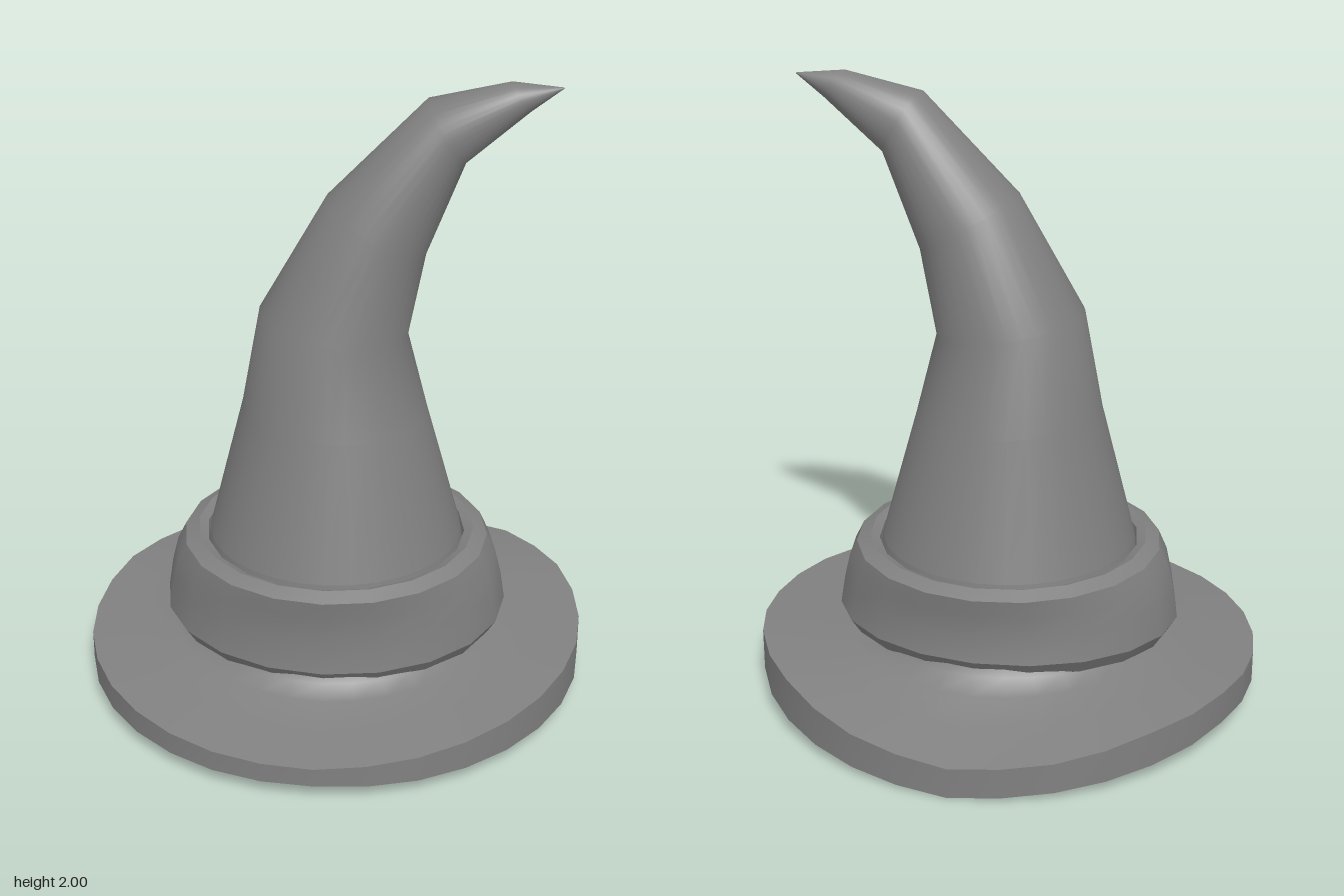
import * as THREE from 'three';
import { toCreasedNormals } from 'three/addons/utils/BufferGeometryUtils.js';

// Skin over rings: point(j, a) gives [x, y, z] on ring j at angle a (0 = front, +90 deg = +x)
function loft(rings, segments, point, crease) {
  const pos = [], index = [];
  for (let j = 0; j < rings; j++) {
    for (let i = 0; i < segments; i++) pos.push(...point(j, (i / segments) * Math.PI * 2));
  }
  for (let j = 0; j < rings - 1; j++) {
    for (let i = 0; i < segments; i++) {
      const k = (i + 1) % segments;
      const a = j * segments + i, b = j * segments + k;
      const c = b + segments, d = a + segments;
      index.push(a, b, c, a, c, d);
    }
  }
  const g = new THREE.BufferGeometry();
  g.setAttribute('position', new THREE.Float32BufferAttribute(pos, 3));
  g.setIndex(index);
  g.computeVertexNormals();
  return crease ? toCreasedNormals(g, crease) : g;
}

// Height table from front (0) to back (PI), mirrored left and right
function around(table, a) {
  const t = (Math.acos(THREE.MathUtils.clamp(Math.cos(a), -1, 1)) / Math.PI) * (table.length - 1);
  const i = Math.min(Math.floor(t), table.length - 2);
  return THREE.MathUtils.lerp(table[i], table[i + 1], t - i);
}

export function createModel() {
  const group = new THREE.Group();
  const material = new THREE.MeshStandardMaterial({ color: 0x808080, side: THREE.DoubleSide });
  const add = (name, geometry) => {
    const mesh = new THREE.Mesh(geometry, material);
    mesh.name = name;
    group.add(mesh);
  };

  // Bent cone: each ring is left point, right point, half depth
  const cone = [
    [-0.413, 0.51, 0.413, 0.51, 0.413],
    [-0.3, 0.95, 0.295, 0.93, 0.305],
    [-0.24, 1.27, 0.228, 1.19, 0.24],
    [-0.03, 1.635, 0.28, 1.46, 0.18],
    [0.275, 1.945, 0.395, 1.755, 0.114],
    [0.52, 2.0, 0.582, 1.915, 0.06],
    [0.674, 1.987, 0.676, 1.984, 0.002],
  ];
  add('crown', loft(cone.length, 32, (j, a) => {
    const [lx, ly, rx, ry, rz] = cone[j];
    const s = Math.sin(a);
    return [(lx + rx) / 2 + ((rx - lx) / 2) * s, (ly + ry) / 2 + ((ry - ly) / 2) * s, rz * Math.cos(a)];
  }));

  // Wavy brim: hollow from the crown down, underside, rim, top, neck
  const rimTop = [0.115, 0.125, 0.142, 0.158, 0.17, 0.19, 0.178, 0.13, 0.1];
  const rimBottom = [0.055, 0.05, 0.05, 0.05, 0.052, 0.068, 0.05, 0.025, 0.002];
  // radius, inner height, share of the rim height, rim side (0 bottom, 1 top)
  const brim = [
    [0.413, 0.51, 0, 0], [0.425, 0.36, 0, 0], [0.435, 0.25, 0, 0], [0.455, 0.17, 0.1, 0], [0.51, 0.12, 0.35, 0],
    [0.62, 0.1, 0.7, 0], [0.818, 0, 1, 0],
    [0.818, 0, 1, 1], [0.66, 0.2, 0.6, 1], [0.54, 0.2, 0.25, 1], [0.48, 0.21, 0, 1], [0.45, 0.27, 0, 1],
    [0.413, 0.51, 0, 0],
  ];
  add('brim', loft(brim.length, 32, (j, a) => {
    const [r, y, share, top] = brim[j];
    const rim = top ? around(rimTop, a) + 0.02 * Math.sin(a) : around(rimBottom, a);
    const inner = y - top * 0.015 * Math.cos(a);
    return [r * Math.sin(a), THREE.MathUtils.lerp(inner, rim, share), r * Math.cos(a)];
  }, 0.9));

  // Hat band, wider sideways at its foot: x radius, z radius, y, share of the foot wave
  const band = [
    [0.45, 0.42, 0.195, 1], [0.535, 0.455, 0.205, 1], [0.565, 0.49, 0.255, 1], [0.55, 0.475, 0.35, 0.4],
    [0.53, 0.485, 0.43, 0], [0.5, 0.495, 0.49, 0], [0.455, 0.45, 0.512, 0],
    [0.425, 0.425, 0.5, 0], [0.42, 0.42, 0.46, 0],
  ];
  add('band', loft(band.length, 20, (j, a) => {
    const [rx, rz, y, wave] = band[j];
    return [rx * Math.sin(a), y - wave * 0.02 * Math.cos(a), rz * Math.cos(a)];
  }, 0.55));

  return group;
}
